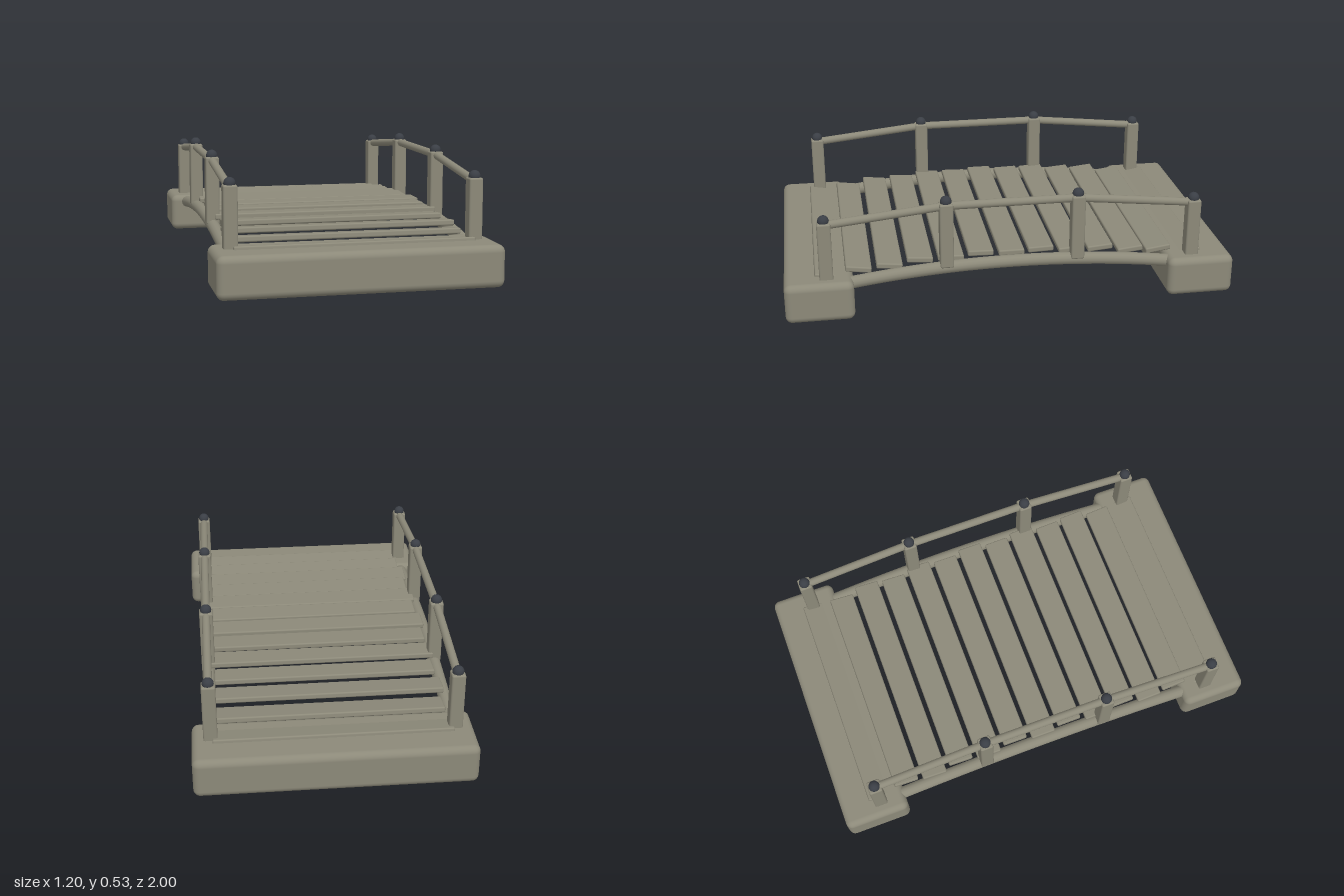
import * as THREE from 'three';
import { RoundedBoxGeometry } from 'three/addons/geometries/RoundedBoxGeometry.js';

export function createModel() {
  const group = new THREE.Group();
  const stone = new THREE.MeshStandardMaterial({ color: 0x8c8979 });
  stone.name = 'weathered grey';
  const iron = new THREE.MeshStandardMaterial({ color: 0x3a3e45 });
  iron.name = 'dark iron';

  const add = (name, geometry, material, x = 0, y = 0, z = 0) => {
    const mesh = new THREE.Mesh(geometry, material);
    mesh.name = name;
    mesh.position.set(x, y, z);
    group.add(mesh);
    return mesh;
  };

  // Round bar between two points
  const bar = (name, a, b, radius) => {
    const dir = b.clone().sub(a);
    const mesh = add(name, new THREE.CylinderGeometry(radius, radius, dir.length(), 16), stone);
    mesh.position.copy(a).add(b).multiplyScalar(0.5);
    mesh.quaternion.setFromUnitVectors(new THREE.Vector3(0, 1, 0), dir.normalize());
  };

  // Footings at both ends
  for (const s of [-1, 1]) {
    add('footing', new RoundedBoxGeometry(1.2, 0.176, 0.3, 4, 0.03), stone, 0, 0.09, s * 0.85);
  }
  group.children.forEach((m) => { m.scale.y = 0.18 / 0.176; });

  // Arched deck of planks, alternating in length
  for (let i = -6; i <= 6; i++) {
    const z = i * 0.135;
    const length = i % 2 ? 0.99 : 1.025;
    const plank = add('plank', new RoundedBoxGeometry(length, 0.026, 0.115, 2, 0.007), stone, 0, 0.232 - 0.09 * z * z, z);
    plank.rotation.x = -0.2 * z;
  }

  // Side beams, posts with ball caps, and handrails
  for (const side of [-1, 1]) {
    const x = side * 0.52;
    const arch = [];
    for (let i = -6; i <= 6; i++) {
      const z = i * 0.14;
      arch.push(new THREE.Vector3(x, 0.197 - 0.1 * z * z, z));
    }
    add('archBeam', new THREE.TubeGeometry(new THREE.CatmullRomCurve3(arch), 32, 0.028, 14), stone);

    const rail = [];
    for (const [z, bottom, top] of [[-0.816, 0.12, 0.44], [-0.291, 0.195, 0.495], [0.291, 0.195, 0.495], [0.816, 0.12, 0.44]]) {
      add('post', new RoundedBoxGeometry(0.06, top - bottom, 0.06, 2, 0.008), stone, x, (top + bottom) / 2, z);
      add('postCap', new THREE.SphereGeometry(0.025, 20, 14), iron, x, top + 0.006, z);
      rail.push(new THREE.Vector3(x, top - 0.015, z));
    }
    for (let i = 0; i < 3; i++) bar('handrail', rail[i], rail[i + 1], 0.018);
  }
  return group;
}
